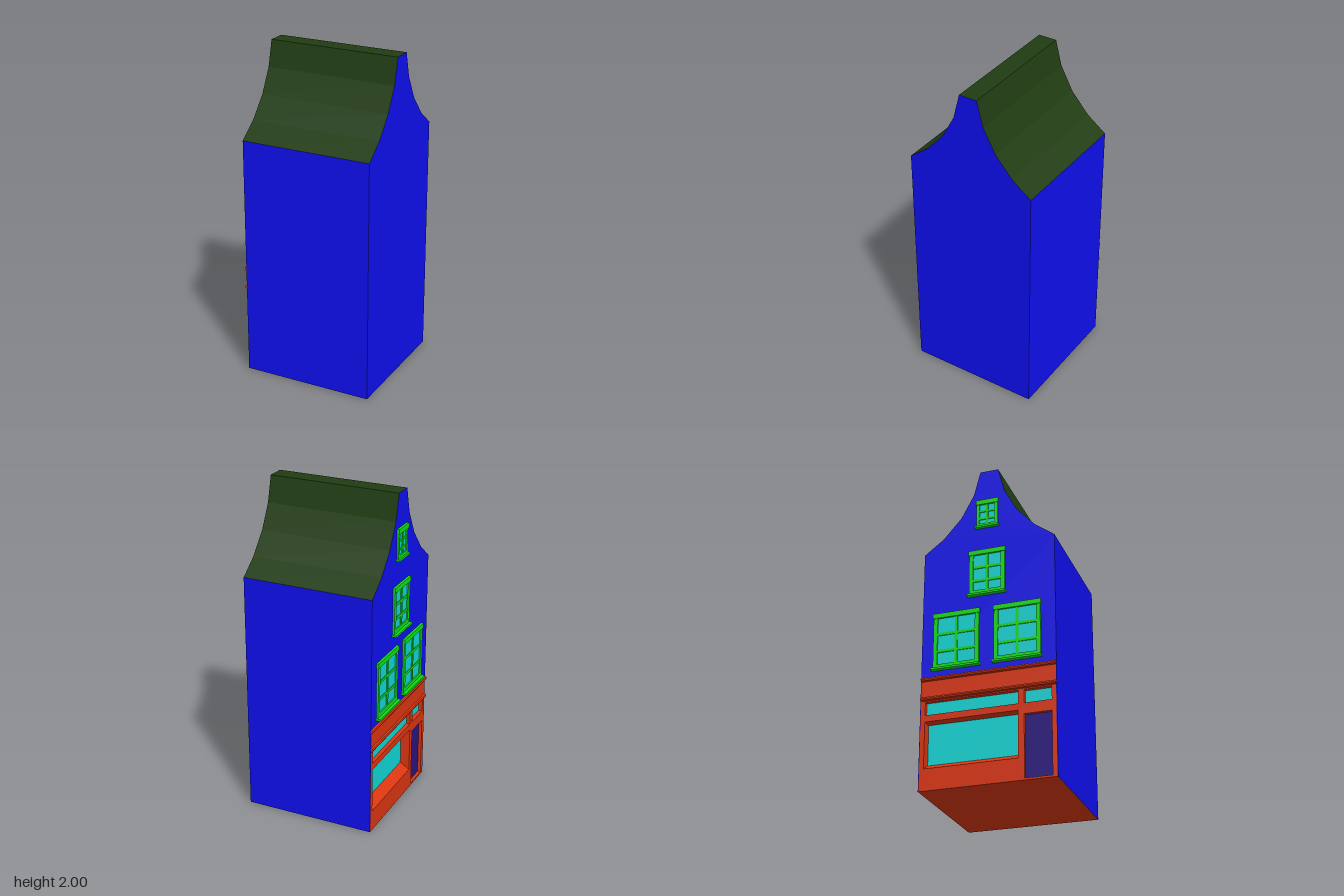
import * as THREE from 'three';

const mat = (color) => new THREE.MeshStandardMaterial({ color, flatShading: true });

export function createModel() {
  const model = new THREE.Group();
  model.name = 'gabledShopHouse';
  const blue = mat(0x0f0ff0), roofGreen = mat(0x203c12), green = mat(0x10e018);
  const orange = mat(0xdd3610), teal = mat(0x10d8d8), doorBlue = mat(0x2a1280);
  const WALL = -0.39, BACK = 0.42, HALF = 0.405, SHOP_TOP = 0.68, EAVE = 1.485;

  const add = (parent, geometry, material, name) => {
    const mesh = new THREE.Mesh(geometry, material);
    mesh.name = name;
    parent.add(mesh);
    return mesh;
  };
  // Box given by its limits
  const slab = (parent, name, material, x0, x1, y0, y1, z0, z1) => {
    const g = new THREE.BoxGeometry(x1 - x0, y1 - y0, z1 - z0);
    g.translate((x0 + x1) / 2, (y0 + y1) / 2, (z0 + z1) / 2);
    return add(parent, g, material, name);
  };
  const polygon = (pts) => new THREE.Shape(pts.map(([a, b]) => new THREE.Vector2(a, b)));
  // Outline drawn in (z, y), extruded from x = start towards -x
  const extrudeX = (shape, start, depth) => {
    const g = new THREE.ExtrudeGeometry(shape, { depth, bevelEnabled: false });
    g.rotateY(-Math.PI / 2);
    return g.translate(start, 0, 0);
  };

  // Ground floor walls, notched on the street side to hold the shopfront
  const n = HALF - 0.004, inner = -0.32;
  const plan = polygon([
    [WALL, -HALF], [BACK, -HALF], [BACK, HALF], [WALL, HALF],
    [WALL, n], [inner, n], [inner, -n], [WALL, -n],
  ]);
  const lower = new THREE.ExtrudeGeometry(plan, { depth: SHOP_TOP, bevelEnabled: false });
  lower.rotateX(-Math.PI / 2);
  add(model, lower, [orange, blue], 'groundFloorWalls');

  // Upper walls
  slab(model, 'upperWalls', blue, WALL, BACK, SHOP_TOP, EAVE, -HALF, HALF);

  // Concave roof with blue gable ends
  const half = [[HALF, EAVE], [0.285, 1.575], [0.175, 1.70], [0.097, 1.845], [0.057, 2]];
  const gable = polygon([...half, ...half.map(([z, y]) => [-z, y]).reverse()]);
  add(model, extrudeX(gable, BACK, BACK - WALL), [blue, roofGreen], 'roofAndGables');

  // Shopfront panel with openings: [name, z0, z1, y0, y1, recess, material]
  const shop = new THREE.Group();
  shop.name = 'shopfront';
  model.add(shop);
  const openings = [
    ['shopWindow', -0.375, 0.18, 0.13, 0.41, 0.06, teal],
    ['shopTransom', -0.375, 0.18, 0.45, 0.53, 0.025, teal],
    ['door', 0.215, 0.375, 0.012, 0.385, 0.02, doorBlue],
    ['doorTransom', 0.215, 0.375, 0.45, 0.53, 0.025, teal],
  ];
  const front = polygon([[-n, 0], [n, 0], [n, SHOP_TOP], [-n, SHOP_TOP]]);
  for (const [name, z0, z1, y0, y1, recess, material] of openings) {
    front.holes.push(new THREE.Path(
      [[z0, y0], [z0, y1], [z1, y1], [z1, y0]].map(([z, y]) => new THREE.Vector2(z, y))));
    slab(shop, name, material, WALL + recess, inner, y0, y1, z0, z1);
  }
  add(shop, extrudeX(front, inner, inner - WALL), orange, 'shopPanel');

  // Sloping sill inside the shop window
  const sill = new THREE.ExtrudeGeometry(
    polygon([[WALL, 0.13], [WALL + 0.06, 0.13], [WALL + 0.06, 0.168]]),
    { depth: 0.555, bevelEnabled: false });
  sill.translate(0, 0, -0.375);
  add(shop, sill, orange, 'shopSill');

  // Rounded mouldings above and below the sign board
  for (const y of [0.67, 0.55]) {
    const g = new THREE.CylinderGeometry(0.013, 0.013, 2 * HALF - 0.004, 8);
    g.rotateX(Math.PI / 2);
    g.translate(WALL, y, 0);
    add(shop, g, orange, 'corniceMoulding');
  }

  // Sash window with frame, glazing bars, head and sill
  const sashWindow = (name, z0, z1, y0, y1, sillOut, columns, rows) => {
    const w = new THREE.Group();
    w.name = name;
    model.add(w);
    const e = 0.008, f = Math.min(0.025, (z1 - z0) * 0.12), bar = f * 0.65;
    const a = z0 + e, b = z1 - e, bottom = y0 + 0.012, top = y1 - 0.025;
    slab(w, 'glass', teal, WALL - 0.003, WALL + 0.002, bottom, top, a, b);
    slab(w, 'jamb', green, WALL - 0.011, WALL, bottom, top, a, a + f);
    slab(w, 'jamb', green, WALL - 0.011, WALL, bottom, top, b - f, b);
    slab(w, 'bottomRail', green, WALL - 0.011, WALL, bottom, bottom + f, a, b);
    slab(w, 'head', green, WALL - 0.015, WALL, top - 0.005, y1, z0 + 0.004, z1 - 0.004);
    slab(w, 'sill', green, WALL - sillOut, WALL, y0, bottom, z0, z1);
    for (let i = 1; i < columns; i++) {
      const z = a + ((b - a) * i) / columns;
      slab(w, 'mullion', green, WALL - 0.009, WALL, bottom, top, z - bar / 2, z + bar / 2);
    }
    for (let i = 1; i < rows; i++) {
      const y = bottom + ((top - bottom) * i) / rows;
      slab(w, 'glazingBar', green, WALL - 0.008, WALL, y - bar / 2, y + bar / 2, a, b);
    }
  };
  sashWindow('firstFloorWindowA', -0.34, -0.045, 0.715, 1.075, 0.03, 2, 3);
  sashWindow('firstFloorWindowB', 0.03, 0.325, 0.715, 1.075, 0.03, 2, 3);
  sashWindow('secondFloorWindow', -0.125, 0.11, 1.155, 1.455, 0.028, 2, 3);
  sashWindow('atticWindow', -0.083, 0.065, 1.605, 1.795, 0.022, 2, 3);

  return model;
}
